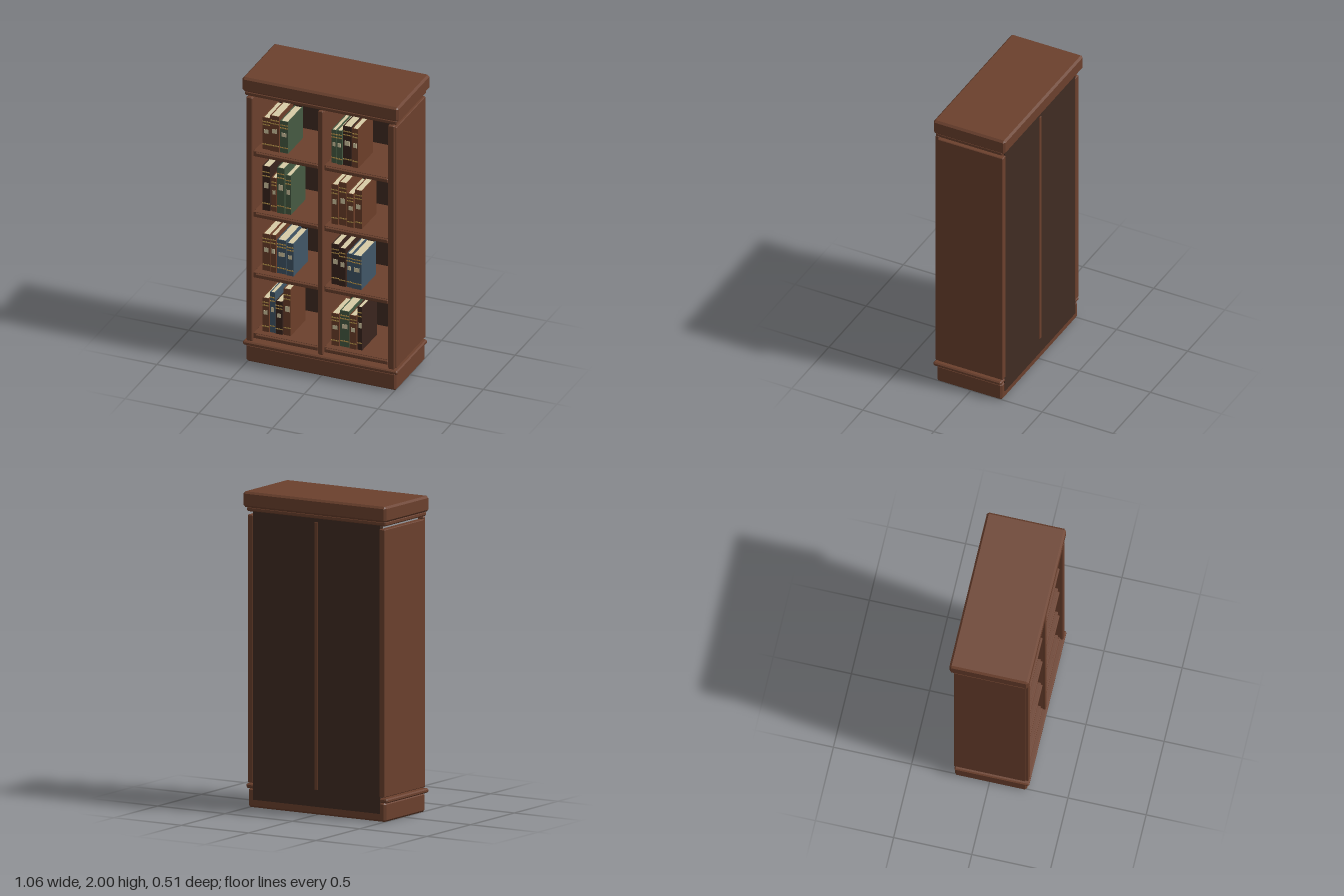
import * as THREE from 'three';
import { ConvexGeometry } from 'three/addons/geometries/ConvexGeometry.js';

const material = (name, color) => {
  const m = new THREE.MeshStandardMaterial({ color });
  m.name = name;
  return m;
};

// Box given by its extents, with chamfered edges and corners
function chamferBox(x0, x1, y0, y1, z0, z1, b) {
  const half = [(x1 - x0) / 2, (y1 - y0) / 2, (z1 - z0) / 2];
  const points = [];
  for (const sx of [-1, 1]) for (const sy of [-1, 1]) for (const sz of [-1, 1]) {
    for (let outer = 0; outer < 3; outer++) {
      const p = half.map((h, i) => (i === outer ? h : h - b));
      points.push(new THREE.Vector3(p[0] * sx, p[1] * sy, p[2] * sz));
    }
  }
  return new ConvexGeometry(points).translate((x0 + x1) / 2, (y0 + y1) / 2, (z0 + z1) / 2);
}

function plainBox(x0, x1, y0, y1, z0, z1) {
  return new THREE.BoxGeometry(x1 - x0, y1 - y0, z1 - z0)
    .translate((x0 + x1) / 2, (y0 + y1) / 2, (z0 + z1) / 2);
}

export function createModel() {
  const model = new THREE.Group();
  model.name = 'bookcase';

  const wood = material('wood', 0x6b402d);
  const darkWood = material('dark wood', 0x402c22);
  const gold = material('gold', 0xb8934a);
  const paper = material('paper', 0xd8cca6);
  const covers = {
    red: material('red brown leather', 0x6c3f29),
    dark: material('dark leather', 0x3a241d),
    green: material('green cloth', 0x465a42),
    blue: material('blue cloth', 0x415666),
  };

  const add = (parent, name, geometry, mat) => {
    const mesh = new THREE.Mesh(geometry, mat);
    mesh.name = name;
    parent.add(mesh);
  };
  const board = (name, x0, x1, y0, y1, z0, z1, b = 0.004) =>
    add(model, name, chamferBox(x0, x1, y0, y1, z0, z1, b), wood);

  // Plinth, mouldings and cornice
  board('plinth', -0.51, 0.51, 0, 0.122, -0.222, 0.238, 0.012);
  board('baseMoulding', -0.525, 0.525, 0.12, 0.148, -0.223, 0.256, 0.008);
  board('corniceMoulding', -0.515, 0.515, 1.873, 1.902, -0.23, 0.243, 0.007);
  board('cornice', -0.53, 0.53, 1.9, 2, -0.253, 0.253, 0.013);

  // Sides with front stiles
  for (const s of [-1, 1]) {
    const [a, b] = s < 0 ? [-0.51, -0.468] : [0.468, 0.51];
    board('sidePanel', a, b, 0.157, 1.852, -0.228, 0.23);
    const [c, d] = s < 0 ? [-0.503, -0.46] : [0.46, 0.503];
    board('frontStile', c, d, 0.152, 1.868, 0.226, 0.25, 0.006);
  }

  // Central divider and back panel
  board('divider', -0.014, 0.014, 0.157, 1.852, -0.228, 0.23, 0.002);
  board('dividerStile', -0.017, 0.017, 0.152, 1.868, 0.226, 0.246, 0.005);
  add(model, 'backPanel', plainBox(-0.472, 0.472, 0.05, 1.876, -0.225, -0.192), darkWood);

  // One book: two boards, a spine, a page block, gilt bands and a label
  function book(x, y, w, h, depth, front, cover) {
    const group = new THREE.Group();
    group.name = 'book';
    const back = front - depth;
    const t = Math.min(0.005, w * 0.14);
    add(group, 'leftBoard', plainBox(x + w - t, x + w, y, y + h, back, front - t), cover);
    add(group, 'rightBoard', plainBox(x, x + t, y, y + h, back, front - t), cover);
    add(group, 'spine', plainBox(x, x + w, y, y + h, front - t, front), cover);
    add(group, 'pages', plainBox(x + t, x + w - t, y + 0.004, y + h - 0.004, back + 0.005, front - t), paper);
    for (const f of [0.16, 0.78, 0.87]) {
      const by = y + h * f;
      add(group, 'giltBand', plainBox(x, x + w, by - 0.0035, by + 0.0035, front, front + 0.002), gold);
    }
    add(group, 'label', plainBox(x + w * 0.2, x + w * 0.8, y + h * 0.51, y + h * 0.63, front, front + 0.002), paper);
    model.add(group);
  }

  // Shelf contents from top to bottom, [left bay, right bay]: cover, width, height
  const rows = [
    [
      [['red', 0.048, 0.222], ['red', 0.06, 0.249], ['green', 0.055, 0.222]],
      [['green', 0.032, 0.233], ['green', 0.035, 0.238], ['dark', 0.058, 0.275], ['red', 0.042, 0.273]],
    ],
    [
      [['dark', 0.053, 0.31], ['red', 0.037, 0.236], ['green', 0.05, 0.318], ['green', 0.037, 0.273]],
      [['red', 0.045, 0.278], ['red', 0.052, 0.3], ['red', 0.045, 0.236], ['red', 0.048, 0.267]],
    ],
    [
      [['red', 0.05, 0.257], ['red', 0.037, 0.262], ['blue', 0.062, 0.236], ['blue', 0.048, 0.228]],
      [['dark', 0.048, 0.283], ['dark', 0.045, 0.267], ['blue', 0.034, 0.236], ['blue', 0.062, 0.236]],
    ],
    [
      [['red', 0.045, 0.236], ['blue', 0.034, 0.283], ['dark', 0.048, 0.23], ['red', 0.048, 0.326]],
      [['red', 0.052, 0.225], ['green', 0.062, 0.252], ['red', 0.047, 0.236], ['dark', 0.031, 0.302]],
    ],
  ];

  rows.forEach((bays, r) => {
    const top = 1.477 - r * 0.4265;
    bays.forEach((books, bay) => {
      // Shelf with a raised front lip
      const [x0, x1] = bay ? [0.014, 0.468] : [-0.468, -0.014];
      board('shelf', x0, x1, top - 0.037, top, -0.192, 0.215, 0.002);
      const [l0, l1] = bay ? [0.022, 0.45] : [-0.45, -0.022];
      board('shelfLip', l0, l1, top - 0.03, top - 0.004, 0.21, 0.228);
      let x = bay ? 0.042 : -0.426;
      books.forEach(([cover, w, h], i) => {
        book(x, top, w, h, 0.23, 0.165 + 0.006 * ((i + r) % 2), covers[cover]);
        x += w + 0.005;
      });
    });
  });

  return model;
}
